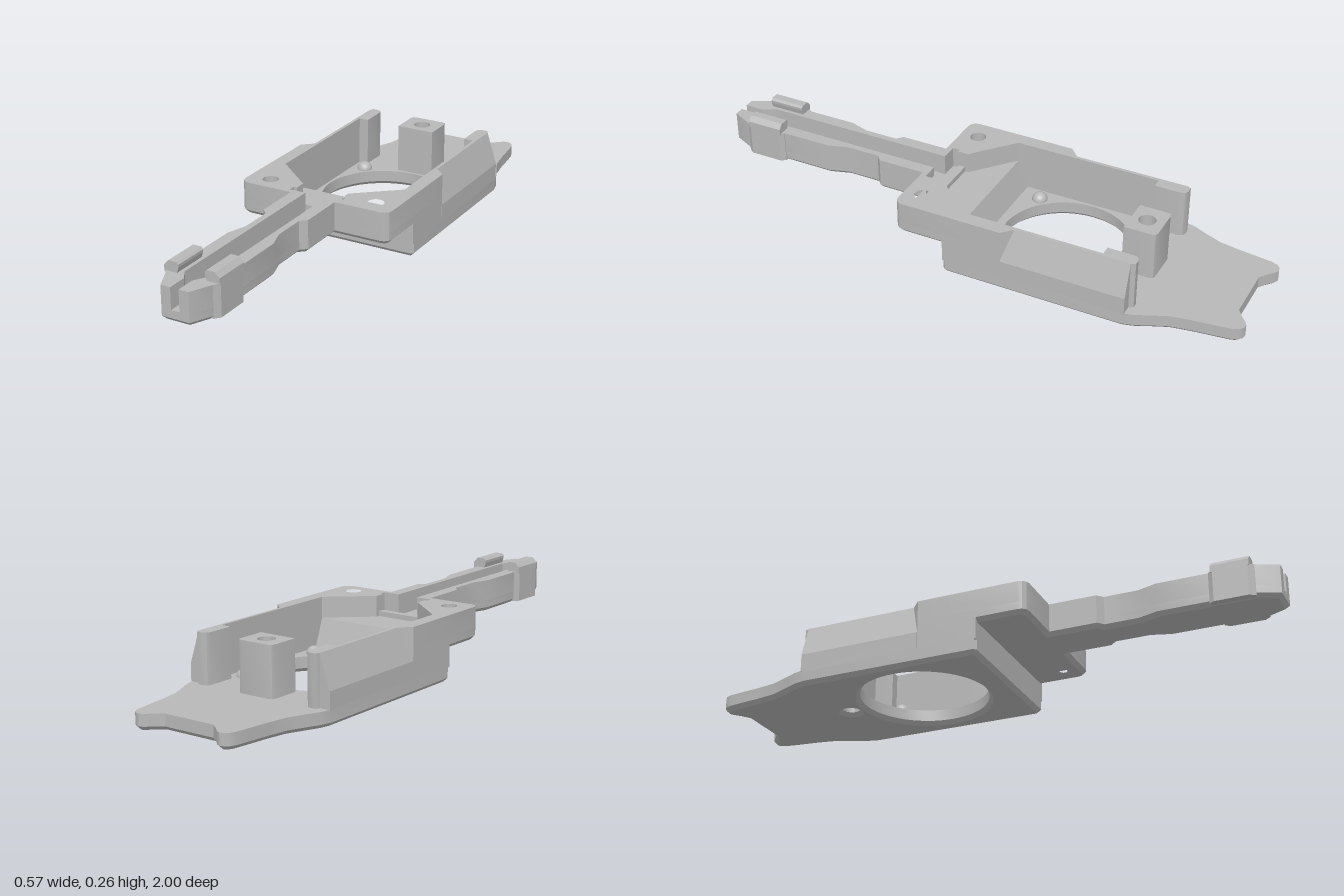
import * as THREE from 'three';
import { toCreasedNormals } from 'three/addons/utils/BufferGeometryUtils.js';

const grey = new THREE.MeshStandardMaterial({ color: 0xb8b8b8 });
grey.name = 'plain grey';

export function createModel() {
  const model = new THREE.Group();

  function add(name, geometry, x = 0, y = 0, z = 0) {
    const mesh = new THREE.Mesh(geometry, grey);
    mesh.name = name;
    mesh.position.set(x, y, z);
    model.add(mesh);
    return mesh;
  }

  // Extrude a plan outline of [x, z] points from y0 to y1; holes are [x, z, radius].
  // A chamfer, if given, runs round the bottom edges only.
  function plan(name, points, y0, y1, { holes = [], chamfer = 0, side = 1 } = {}) {
    const shape = new THREE.Shape(points.map(([x, z]) => new THREE.Vector2(x * side, -z)));
    for (const [x, z, r] of holes) {
      const path = new THREE.Path();
      path.absarc(x * side, -z, r, 0, Math.PI * 2, true);
      shape.holes.push(path);
    }
    const h = y1 - y0;
    const geo = new THREE.ExtrudeGeometry(shape, {
      depth: h - chamfer, curveSegments: 32, bevelEnabled: chamfer > 0,
      bevelThickness: chamfer, bevelSize: chamfer, bevelOffset: -chamfer, bevelSegments: 1,
    });
    geo.translate(0, 0, chamfer);
    const p = geo.attributes.position;
    for (let i = 0; i < p.count; i++) p.setZ(i, Math.min(p.getZ(i), h));
    geo.rotateX(-Math.PI / 2);
    return add(name, toCreasedNormals(geo, 0.5), 0, y0, 0);
  }

  // Extrude an [x, y] cross-section along z.
  function section(name, points, z0, z1, side = 1) {
    const shape = new THREE.Shape(points.map(([x, y]) => new THREE.Vector2(x * side, y)));
    return add(name, new THREE.ExtrudeGeometry(shape, { depth: z1 - z0, bevelEnabled: false }), 0, 0, z0);
  }

  const mirror = (half) => [...half, ...half.map(([x, z]) => [-x, z]).reverse()];

  // Base plate with a large round opening and a swallow-shaped tail
  const baseHalf = [
    [0.275, 0.03], [0.285, 0.02], [0.285, -0.62], [0.275, -0.66], [0.25, -0.715], [0.228, -0.767],
    [0.215, -0.84], [0.206, -0.915], [0.199, -0.965], [0.191, -0.985], [0.178, -0.996],
    [0.163, -1.0], [0.148, -0.993], [0.125, -0.972], [0.097, -0.952],
  ];
  plan('basePlate', mirror(baseHalf), 0, 0.055,
    { holes: [[0, -0.295, 0.226], [0, -0.585, 0.03]], chamfer: 0.014 });

  // Front wall with the ramp leading up from the cavity floor
  const ramp = new THREE.Shape([[0.04, 0.05], [0, 0.155], [-0.03, 0.155], [-0.03, 0.05]]
    .map(([a, b]) => new THREE.Vector2(a, b)));
  const rampGeo = new THREE.ExtrudeGeometry(ramp, { depth: 0.57, bevelEnabled: false });
  rampGeo.rotateY(Math.PI / 2);
  add('frontRamp', rampGeo, -0.285, 0, 0);

  // Floor of the front flange and the long arm
  const armSide = [
    [0.085, 0.21], [0.085, 0.38], [0.063, 0.4], [0.063, 0.52], [0.085, 0.59], [0.085, 0.925], [0.05, 1.0],
  ];
  const corner = [[0.285, 0.18], [0.281, 0.195], [0.27, 0.206], [0.255, 0.21]];
  const flangeHole = [0.205, 0.145, 0.028];
  plan('flangeAndArmFloor', mirror([[0.285, 0.01], ...corner, ...armSide]), 0.114, 0.155,
    { holes: [flangeHole, [-0.205, 0.145, 0.028]], chamfer: 0.014 });

  // Low ridge across the mouth of the arm channel
  add('channelRidge', new THREE.BoxGeometry(0.2, 0.02, 0.025), 0, 0.163, 0.15);

  for (const side of [1, -1]) {
    const tag = side > 0 ? 'left' : 'right';

    // Upper flange, front part of the side wall and the arm's channel wall
    plan(tag + 'UpperRim', [
      [0.247, -0.22], [0.285, -0.185], ...corner, ...armSide,
      [0.015, 1.0], [0.015, 0.93], [0.04, 0.89], [0.04, 0.19], [0.1, 0.19], [0.1, 0.165],
      [0.088, 0.165], [0.088, 0.125], [0.235, 0], [0.235, -0.22],
    ], 0.155, 0.23, { holes: [flangeHole], side });

    // Side wall below the rim
    plan(tag + 'LowerWall', [[0.247, -0.22], [0.285, -0.185], [0.285, 0.03], [0.235, 0.03], [0.235, -0.22]],
      0.05, 0.155, { side });

    // Rear side wall, leaning inward toward its top
    section(tag + 'SlopedWall',
      [[0.235, 0.05], [0.285, 0.05], [0.285, 0.115], [0.247, 0.23], [0.235, 0.23]], -0.63, -0.187, side);

    // Rounded pillar closing the rear end of the wall
    plan(tag + 'RearPillar', [
      [0.2, -0.53], [0.2, -0.625], [0.206, -0.639], [0.22, -0.645], [0.24, -0.645], [0.247, -0.63], [0.247, -0.53],
    ], 0.05, 0.23, { side });

    // Snap clip near the arm tip: outer pad and overhanging top lip
    plan(tag + 'ClipPad', [
      [0.06, 0.77], [0.088, 0.77], [0.1, 0.787], [0.1, 0.905], [0.085, 0.925], [0.06, 0.925],
    ], 0.118, 0.23, { side });
    section(tag + 'ClipLip', [
      [0.055, 0.225], [0.1, 0.225], [0.1, 0.248], [0.084, 0.265], [0.054, 0.265], [0.047, 0.258], [0.048, 0.248],
    ], 0.78, 0.91, side);

    // Small domed studs at the corners of the opening
    for (const z of [-0.48, -0.11]) {
      const stud = new THREE.SphereGeometry(0.028, 24, 8, 0, Math.PI * 2, 0, Math.PI / 2);
      add(tag + 'Stud', stud, 0.185 * side, 0.055, z);
    }
  }

  // Rear screw post
  plan('rearPost', mirror([
    [0.07, -0.53], [0.07, -0.63], [0.066, -0.641], [0.055, -0.645],
  ]), 0.05, 0.23, { holes: [[0, -0.585, 0.03]] });

  return model;
}
